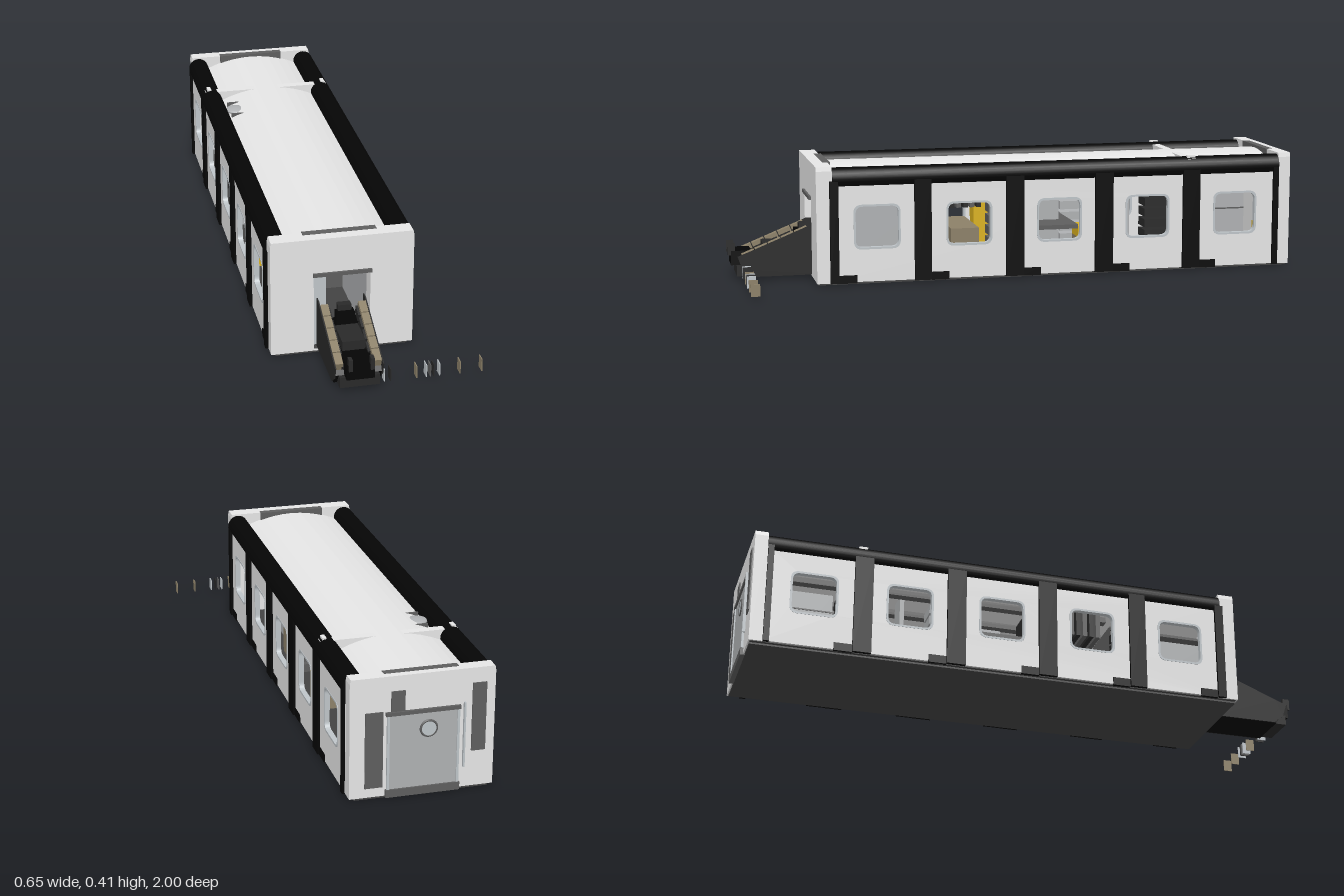
import * as THREE from 'three';

const CX = -0.078; // centre line of the cabin

const mat = (name, color, side = THREE.FrontSide) => {
  const m = new THREE.MeshStandardMaterial({ color, side });
  m.name = name;
  return m;
};

function roundRect(target, cx, cy, w, h, r) {
  const x = cx - w / 2, y = cy - h / 2;
  target.moveTo(x + r, y);
  target.lineTo(x + w - r, y); target.quadraticCurveTo(x + w, y, x + w, y + r);
  target.lineTo(x + w, y + h - r); target.quadraticCurveTo(x + w, y + h, x + w - r, y + h);
  target.lineTo(x + r, y + h); target.quadraticCurveTo(x, y + h, x, y + h - r);
  target.lineTo(x, y + r); target.quadraticCurveTo(x, y, x + r, y);
  return target;
}

export function createModel() {
  const root = new THREE.Group();
  root.name = 'cabinModule';
  const white = mat('panelWhite', 0xe5e5e5), black = mat('black', 0x050505);
  const charcoal = mat('charcoal', 0x292929), floorGrey = mat('floorGrey', 0x434343);
  const dark = mat('darkGrey', 0x5e5e5e), grey = mat('midGrey', 0xaeb0b2);
  const pale = mat('paleBlueGrey', 0xbec4c8);
  const tan = mat('tan', 0x8c8068), yellow = mat('yellow', 0xd9b01e);

  const add = (name, geo, m, parent = root) => {
    const mesh = new THREE.Mesh(geo, m);
    mesh.name = name;
    parent.add(mesh);
    return mesh;
  };
  // Box given by its minimum and maximum corners
  const box = (name, m, x0, x1, y0, y1, z0, z1, parent = root) => {
    const b = add(name, new THREE.BoxGeometry(x1 - x0, y1 - y0, z1 - z0), m, parent);
    b.position.set((x0 + x1) / 2, (y0 + y1) / 2, (z0 + z1) / 2);
    return b;
  };
  const extrude = (shape, depth) =>
    new THREE.ExtrudeGeometry(shape, { depth, bevelEnabled: false, curveSegments: 12 });
  // Shape drawn in (z, y), extruded across x from x0 to x1
  const side = (name, shape, m, x0, x1, parent = root) => {
    const mesh = add(name, extrude(shape, x1 - x0).rotateY(-Math.PI / 2), m, parent);
    mesh.position.x = x1;
    return mesh;
  };
  const poly = pts => new THREE.Shape(pts.map(p => new THREE.Vector2(...p)));

  // Floor and sills
  box('floor', floorGrey, -0.31, 0.154, 0.006, 0.012, -0.985, 0.71);
  box('underplate', floorGrey, -0.298, 0.14, 0, 0.007, -0.985, 0.71);
  box('rearSill', dark, -0.2, 0.042, 0.004, 0.03, -1, -0.985);

  // Side walls with rounded windows, posts, feet and padded top rolls
  const windows = [0.507, 0.185, -0.137, -0.458, -0.783];
  const posts = [[0.64, 0.67], [0.319, 0.378], [-0.008, 0.056], [-0.33, -0.265], [-0.65, -0.587], [-0.945, -0.925]];
  for (const s of [1, -1]) {
    const wall = new THREE.Group();
    wall.name = s > 0 ? 'leftWall' : 'rightWall';
    root.add(wall);
    const X = d => CX + s * d;
    const span = (a, b) => [Math.min(X(a), X(b)), Math.max(X(a), X(b))];
    const panel = poly([[-0.945, 0.01], [0.66, 0.01], [0.66, 0.36], [-0.945, 0.36]]);
    windows.forEach(z => panel.holes.push(roundRect(new THREE.Path(), z, 0.2, 0.152, 0.145, 0.025)));
    side('wallPanel', panel, white, ...span(0.222, 0.236), wall);
    for (const z of windows) {
      const rim = roundRect(new THREE.Shape(), z, 0.2, 0.162, 0.155, 0.029);
      rim.holes.push(roundRect(new THREE.Path(), z, 0.2, 0.148, 0.141, 0.024));
      side('windowRim', rim, pale, ...span(0.22, 0.2375), wall);
    }
    for (const [a, b] of posts) {
      box('post', black, ...span(0.225, 0.245), 0.008, 0.36, a, b, wall);
      if (a > -0.9) box('postFoot', black, ...span(0.228, 0.239), 0.006, 0.034, a - 0.062, a, wall);
    }
    const roll = add('topRoll', new THREE.CylinderGeometry(0.037, 0.037, 1.605, 24).rotateX(Math.PI / 2), black, wall);
    roll.position.set(X(0.209), 0.368, -0.1425);
  }

  // Vaulted roof
  const vault = new THREE.Shape();
  vault.moveTo(CX - 0.21, 0.338);
  vault.lineTo(CX + 0.21, 0.338);
  vault.lineTo(CX + 0.21, 0.345);
  vault.quadraticCurveTo(CX, 0.457, CX - 0.21, 0.345);
  add('roof', extrude(vault, 1.605), white).position.z = -0.945;
  // Cross beam that sinks into the crown of the roof
  box('roofBeam', white, CX - 0.232, CX + 0.232, 0.35, 0.398, -0.636, -0.606);
  for (const s of [1, -1]) {
    box('beamClamp', white, CX + s * 0.218 - 0.007, CX + s * 0.218 + 0.007, 0.38, 0.409, -0.636, -0.606);
  }
  // Roof vent dome with brackets
  const dome = add('ventDome', new THREE.SphereGeometry(0.036, 24, 12), grey);
  dome.scale.y = 0.3;
  dome.position.set(-0.22, 0.374, -0.48);
  for (const z of [-0.535, -0.428]) box('ventBracket', dark, -0.242, -0.198, 0.365, 0.382, z, z + 0.006);

  // End frames
  const capOutline = () => poly([[-0.313, 0.008], [0.157, 0.008], [0.157, 0.395], [0.154, 0.41], [-0.31, 0.41], [-0.313, 0.395]]);
  const front = capOutline();
  front.holes.push(new THREE.Path([[-0.172, 0.012], [-0.172, 0.282], [0.014, 0.282], [0.014, 0.012]].map(p => new THREE.Vector2(...p))));
  add('frontFrame', extrude(front, 0.055), white).position.z = 0.66;
  add('rearFrame', extrude(capOutline(), 0.045), white).position.z = -0.99;
  box('frontInnerPlate', dark, -0.2, 0.042, 0.35, 0.4108, 0.651, 0.677);
  box('rearInnerPlate', dark, -0.2, 0.042, 0.35, 0.4108, -0.966, -0.941);

  // Front doorway and vestibule
  box('doorHeader', dark, -0.175, 0.018, 0.278, 0.29, 0.71, 0.723);
  box('vestibuleBack', dark, -0.172, 0.014, 0.012, 0.3, 0.3, 0.31);
  box('vestibuleCeiling', dark, -0.18, 0.022, 0.282, 0.292, 0.3, 0.66);
  box('slidingDoor', pale, -0.172, -0.125, 0.012, 0.28, 0.672, 0.682);
  for (const x of [-0.182, 0.014]) box('vestibuleWall', grey, x, x + 0.01, 0.012, 0.262, 0.3, 0.66);

  // Rear door, porthole, vents and handles
  const rear = new THREE.Group();
  rear.name = 'rearDoor';
  root.add(rear);
  box('doorLeaf', grey, -0.19, 0.03, 0.03, 0.28, -0.994, -0.988, rear);
  box('doorHeader', dark, -0.2, 0.042, 0.28, 0.292, -1, -0.988, rear);
  for (const x of [-0.197, 0.03]) box('doorJamb', pale, x, x + 0.008, 0.03, 0.28, -0.998, -0.988, rear);
  add('portholeRim', new THREE.TorusGeometry(0.026, 0.004, 8, 28), dark, rear).position.set(-0.097, 0.225, -0.994);
  const glass = add('portholeGlass', new THREE.CylinderGeometry(0.025, 0.025, 0.004, 28).rotateX(Math.PI / 2), pale, rear);
  glass.position.set(-0.097, 0.225, -0.995);
  box('lowVent', dark, 0.05, 0.108, 0.04, 0.295, -0.994, -0.988, rear);
  box('highVent', dark, -0.284, -0.238, 0.13, 0.36, -0.994, -0.988, rear);
  box('signalPlate', dark, -0.02, 0.025, 0.292, 0.36, -0.994, -0.988, rear);
  box('grabRail', pale, -0.216, -0.21, 0.08, 0.3, -1, -0.988, rear);

  // Interior fittings seen through the windows
  const inside = new THREE.Group();
  inside.name = 'interior';
  root.add(inside);
  box('rearLocker', grey, -0.2, 0.04, 0.012, 0.262, -0.86, -0.7, inside);
  box('lockerLid', dark, -0.202, 0.042, 0.195, 0.2, -0.86, -0.7, inside);
  box('lockerBox', yellow, 0.045, 0.075, 0.09, 0.15, -0.93, -0.89, inside);
  box('cabinet', grey, -0.14, -0.02, 0.012, 0.24, -0.18, -0.095, inside);
  box('worktop', dark, -0.26, 0.1, 0.155, 0.17, -0.22, -0.05, inside);
  box('bench', tan, -0.2, 0.06, 0.012, 0.165, 0.13, 0.23, inside);
  box('partitionPost', grey, -0.12, -0.04, 0.012, 0.34, -0.45, -0.435, inside);
  box('crate', tan, 0, 0.08, 0.012, 0.12, -0.32, -0.225, inside);
  box('crateLid', yellow, 0, 0.08, 0.12, 0.16, -0.32, -0.225, inside);
  box('yellowLocker', yellow, -0.24, -0.17, 0.012, 0.25, 0.025, 0.1, inside);
  box('darkLocker', charcoal, -0.24, -0.17, 0.012, 0.25, -0.045, 0.025, inside);
  for (let i = 0; i < 6; i++) {
    box('hangingTool', i % 2 ? dark : charcoal, -0.2, 0.04, 0.235, 0.338, 0.118 + i * 0.024, 0.134 + i * 0.024, inside);
  }
  // Slatted racks between the windows
  const racks = [[0.02, 0.08, -0.005, 0.1, dark], [-0.25, -0.19, 0.29, 0.41, charcoal],
    [-0.25, -0.17, -0.375, -0.225, grey], [-0.25, -0.17, -0.69, -0.55, charcoal]];
  for (const [x0, x1, z0, z1, m] of racks) {
    for (let i = 0; i < 6; i++) box('rackSlat', m, x0, x1, 0.02 + i * 0.04, 0.05 + i * 0.04, z0, z1, inside);
  }
  for (const x of [-0.16, -0.01]) box('ceilingDuct', dark, x, x + 0.03, 0.318, 0.338, -0.94, 0.29, inside);

  // Docked vehicle in front of the door
  const car = new THREE.Group();
  car.name = 'dockedVehicle';
  root.add(car);
  const wedge = poly([[0.69, 0.012], [0.92, 0.012], [0.955, 0.04], [0.97, 0.085], [0.93, 0.1], [0.715, 0.187], [0.69, 0.187]]);
  for (const x of [-0.158, -0.004]) side('sidePlate', wedge, charcoal, x, x + 0.004, car);
  side('hull', poly([[0.69, 0.012], [0.93, 0.012], [0.955, 0.05], [0.93, 0.088], [0.69, 0.11]]), black, -0.154, -0.004, car);
  box('frontPlate', charcoal, -0.143, -0.014, 0.014, 0.05, 0.93, 0.972, car);
  box('noseBlock', black, -0.125, -0.035, 0.05, 0.1, 0.92, 0.99, car);
  for (const x of [-0.12, -0.05]) box('noseProng', charcoal, x, x + 0.012, 0.085, 0.125, 0.975, 1, car);
  box('seatBase', charcoal, -0.115, -0.04, 0.09, 0.125, 0.77, 0.88, car);
  box('seatBack', black, -0.108, -0.048, 0.1, 0.165, 0.735, 0.765, car);
  box('headrest', charcoal, -0.1, -0.056, 0.16, 0.185, 0.725, 0.75, car);
  // Segmented arms down both sides
  for (const x of [-0.141, -0.017]) {
    for (let i = 0; i < 5; i++) {
      const arm = add('armSegment', new THREE.BoxGeometry(0.025, 0.045, 0.046), tan, car);
      arm.position.set(x, 0.153 - i * 0.0185, 0.742 + i * 0.046);
      arm.rotation.x = 0.385;
      const inner = add('armInset', new THREE.BoxGeometry(0.012, 0.03, 0.04), charcoal, car);
      inner.position.set(x + (x < CX ? 0.014 : -0.014), 0.145 - i * 0.0185, 0.742 + i * 0.046);
      inner.rotation.x = 0.385;
    }
  }

  // Row of small upright plates beside the vehicle
  const plates = [[0.005, pale], [0.025, charcoal], [0.11, tan], [0.142, pale], [0.155, dark],
    [0.166, charcoal], [0.185, pale], [0.252, tan], [0.3235, tan]];
  for (const [x, m] of plates) box('markerPlate', m, x - 0.0015, x + 0.0015, 0.01, 0.052, 0.925, 0.956);
  return root;
}
